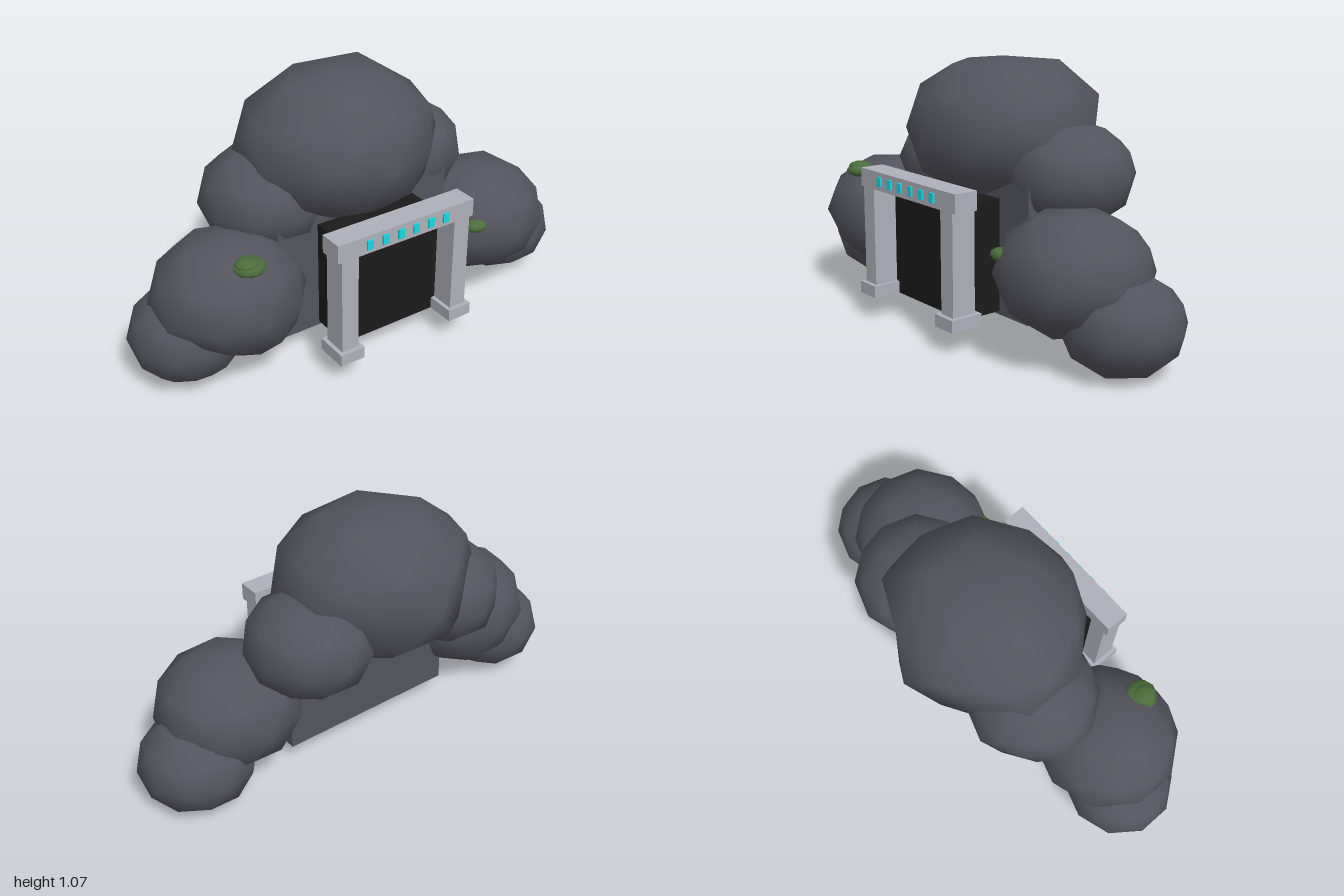
import * as THREE from 'three';
import { mergeVertices } from 'three/addons/utils/BufferGeometryUtils.js';

const mat = (name, color) => new THREE.MeshStandardMaterial({ name, color });

export function createModel() {
  const group = new THREE.Group();
  group.name = 'caveEntrance';
  const rockMat = mat('darkRock', 0x54545e);
  const stoneMat = mat('paleStone', 0xb0b0bb);
  const darkMat = mat('blackInterior', 0x1b1b1b);
  const glowMat = mat('cyanRune', 0x1ce2f2);
  const mossMat = mat('mossGreen', 0x4c6e3c);

  // Box given by its minimum and maximum corners
  function box(name, material, [x0, y0, z0], [x1, y1, z1]) {
    const mesh = new THREE.Mesh(new THREE.BoxGeometry(x1 - x0, y1 - y0, z1 - z0), material);
    mesh.position.set((x0 + x1) / 2, (y0 + y1) / 2, (z0 + z1) / 2);
    mesh.name = name;
    group.add(mesh);
  }

  // Smooth low-poly boulder: icosphere with a vertex ring on the equator and flattened poles.
  // Each dent [x, y, z, factor] pulls the corner in that direction in or out.
  function boulder(name, material, [x, y, z], [rx, ry, rz], dents = []) {
    let geo = new THREE.IcosahedronGeometry(1, 1);
    geo.deleteAttribute('normal');
    geo.deleteAttribute('uv');
    geo = mergeVertices(geo, 1e-4);
    geo.rotateX(-Math.atan((1 + Math.sqrt(5)) / 2));
    geo.rotateY(-Math.PI / 2);
    const p = geo.attributes.position;
    const v = new THREE.Vector3();
    const dir = new THREE.Vector3();
    for (let i = 0; i < p.count; i++) {
      v.fromBufferAttribute(p, i);
      let f = 1;
      for (const [dx, dy, dz, factor] of dents) {
        if (dir.set(dx, dy, dz).normalize().dot(v) > 0.93) f = factor;
      }
      v.y = THREE.MathUtils.clamp(v.y, -0.93, 0.93) / 0.93;
      v.multiplyScalar(f);
      p.setXYZ(i, v.x * rx, v.y * ry, v.z * rz);
    }
    geo.computeVertexNormals();
    const mesh = new THREE.Mesh(geo, material);
    mesh.position.set(x, y, z);
    mesh.name = name;
    group.add(mesh);
  }

  // Boulders piled over and beside the entrance
  boulder('topBoulder', rockMat, [-0.027, 0.78, -0.05], [0.43, 0.29, 0.4], [
    [0.59, 0, -0.81, 0.84], [-0.59, 0, -0.81, 0.84],
    [0.59, 0, 0.81, 0.95], [-0.59, 0, 0.81, 0.96],
    [0.43, 0.85, -0.31, 1.06], [0.72, 0.45, -0.53, 1.06],
  ]);
  boulder('rightUpperBoulder', rockMat, [-0.35, 0.61, -0.08], [0.265, 0.2, 0.27],
    [[-0.59, 0, -0.81, 0.9]]);
  boulder('leftUpperBoulder', rockMat, [0.325, 0.635, -0.095], [0.262, 0.2, 0.265]);
  boulder('rightMiddleBoulder', rockMat, [-0.622, 0.345, 0.095], [0.31, 0.245, 0.295],
    [[-0.28, -0.45, 0.85, 0.93], [-0.72, -0.45, 0.53, 0.88], [-0.43, -0.85, 0.31, 0.88]]);
  boulder('leftMiddleBoulder', rockMat, [0.58, 0.337, 0.11], [0.305, 0.228, 0.3]);
  boulder('rightOuterBoulder', rockMat, [-0.78, 0.205, 0.04], [0.23, 0.185, 0.225]);
  boulder('leftOuterBoulder', rockMat, [0.773, 0.183, 0.055], [0.239, 0.183, 0.235]);

  // Core block and dark passage
  box('coreBlock', rockMat, [-0.43, 0.08, -0.02], [0.375, 0.62, 0.155]);
  box('darkPassage', darkMat, [-0.25, 0.095, 0.1], [0.205, 0.55, 0.333]);

  // Stone doorway, symmetric about its own centre line
  const cx = -0.025;
  box('lintel', stoneMat, [cx - 0.317, 0.547, 0.333], [cx + 0.317, 0.622, 0.435]);
  for (const s of [-1, 1]) {
    const px = cx + s * 0.263;
    box('pillar', stoneMat, [px - 0.037, 0.145, 0.333], [px + 0.037, 0.547, 0.435]);
    box('pillarBase', stoneMat, [px - 0.054, 0.095, 0.315], [px + 0.054, 0.145, 0.453]);
  }

  // Row of glowing runes on the lintel
  for (let i = 0; i < 6; i++) {
    const x = cx + (i - 2.5) * 0.071;
    box('rune', glowMat, [x - 0.013, 0.565, 0.435], [x + 0.013, 0.604, 0.443]);
  }

  // Moss clumps
  boulder('mossClump', mossMat, [-0.615, 0.548, 0.265], [0.066, 0.028, 0.066]);
  boulder('mossTuft', mossMat, [-0.625, 0.564, 0.27], [0.047, 0.02, 0.047]);
  boulder('mossPatch', mossMat, [0.422, 0.405, 0.318], [0.057, 0.025, 0.042]);

  return group;
}
